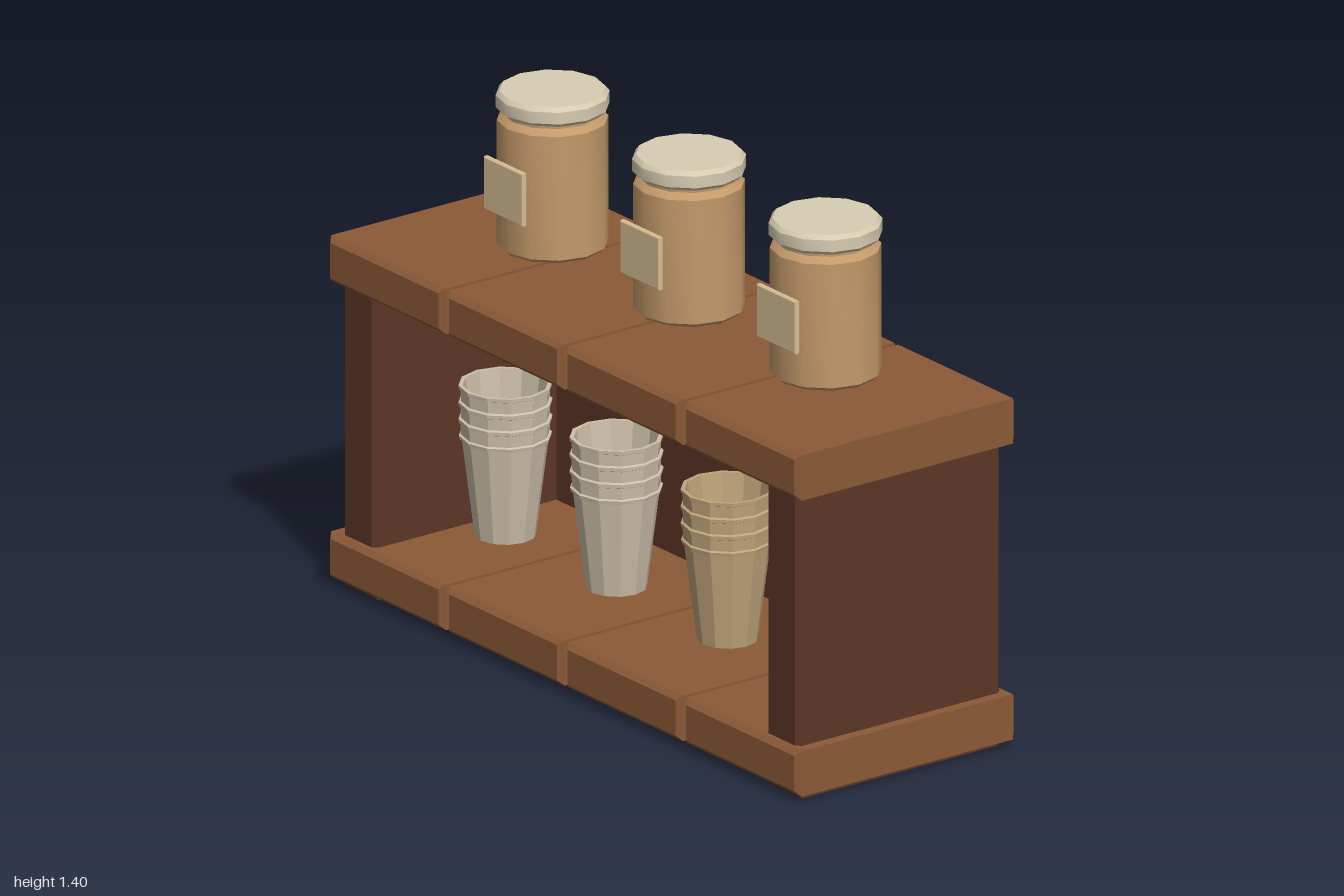
import * as THREE from 'three';
import { toCreasedNormals } from 'three/addons/utils/BufferGeometryUtils.js';

const mat = (color, flatShading = false) => new THREE.MeshStandardMaterial({ color, flatShading });

const plankWood = mat(0x8d5a37);
const darkWood = mat(0x5c3626);
const jarWood = mat(0xc49a6a);
const cloth = mat(0xd8ccb2);
const paper = mat(0xd8bf92);

// Box with chamfered edges, centred on the origin
function chamferBox(w, h, d, c) {
  const x = w / 2 - c, y = h / 2 - c;
  const shape = new THREE.Shape([[-x, -y], [x, -y], [x, y], [-x, y]].map(([a, b]) => new THREE.Vector2(a, b)));
  const geo = new THREE.ExtrudeGeometry(shape, {
    depth: d - 2 * c, bevelEnabled: true, bevelSize: c, bevelThickness: c, bevelSegments: 1,
  });
  return geo.translate(0, 0, c - d / 2);
}

// Twelve-sided turned shape from [radius, height] pairs
function turned(profile) {
  return new THREE.LatheGeometry(profile.map(([r, y]) => new THREE.Vector2(r, y)), 12);
}

function add(parent, name, geo, material, x = 0, y = 0, z = 0) {
  const mesh = new THREE.Mesh(geo, material);
  mesh.name = name;
  mesh.position.set(x, y, z);
  parent.add(mesh);
  return mesh;
}

// Jar with a cloth lid and a blank paper label
function createJar() {
  const jar = new THREE.Group();
  jar.name = 'jar';
  const body = turned([[0, 0], [0.135, 0], [0.145, 0.01], [0.145, 0.35], [0.128, 0.366], [0.128, 0.385], [0, 0.385]]);
  add(jar, 'jarBody', toCreasedNormals(body, 0.6), jarWood);
  const lid = turned([[0, 0.376], [0.138, 0.376], [0.148, 0.386], [0.148, 0.418], [0.138, 0.43], [0, 0.43]]);
  add(jar, 'jarLid', toCreasedNormals(lid, 0.6), cloth);
  add(jar, 'jarLabel', chamferBox(0.165, 0.145, 0.016, 0.003), paper, 0, 0.183, 0.153);
  return jar;
}

// Stack of nested cups: one tapered cup with the rims of the others above it
function createCupStack() {
  const profile = [[0, 0], [0.08, 0], [0.113, 0.265], [0.119, 0.267], [0.121, 0.277]];
  for (let i = 1; i <= 3; i++) {
    const y = 0.277 + i * 0.046;
    profile.push([0.115, y - 0.043], [0.117, y - 0.012], [0.121, y - 0.01], [0.122, y]);
  }
  // Open inside of the top cup
  profile.push([0.111, 0.415], [0.082, 0.17], [0, 0.17]);
  return turned(profile);
}

export function createModel() {
  const model = new THREE.Group();
  model.name = 'teaShelf';

  // Top and bottom shelves, four planks each
  const plank = chamferBox(0.488, 0.125, 0.71, 0.014);
  for (const [name, y] of [['bottomPlank', 0.0825], ['topPlank', 0.8975]]) {
    for (let i = 0; i < 4; i++) add(model, name, plank, plankWood, (i - 1.5) * 0.504, y, 0);
  }

  // Side walls and back panel
  const wall = chamferBox(0.14, 0.895, 0.66, 0.014);
  for (const s of [-1, 1]) add(model, 'sideWall', wall, darkWood, s * 0.9, 0.4475, 0);
  add(model, 'backPanel', chamferBox(1.92, 0.895, 0.07, 0.014), darkWood, 0, 0.4475, -0.293);

  // Cup stacks on the lower shelf
  const cups = createCupStack();
  [0xcdbfa8, 0xcdbfa8, 0xc0a47a, 0x8fb096].forEach((color, i) => {
    add(model, 'cupStack', cups, mat(color, true), (i - 1.5) * 0.472, 0.147, 0);
  });

  // Jars on the top shelf
  for (const x of [-0.58, 0, 0.58]) {
    const jar = createJar();
    jar.position.set(x, 0.97, -0.055);
    model.add(jar);
  }

  return model;
}
